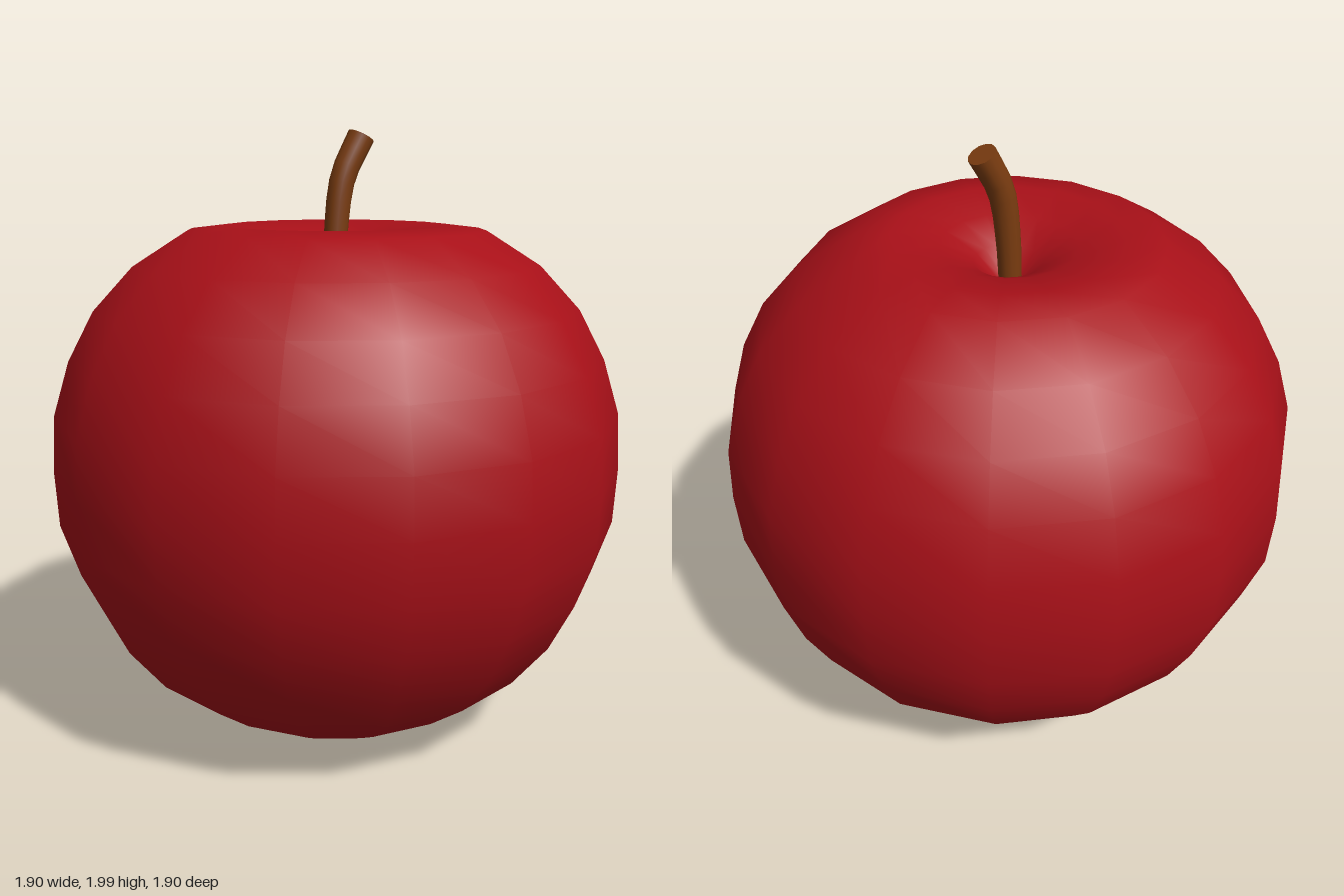
import * as THREE from 'three';

// Cylinder whose rings follow a curve, caps included
function bentCylinder(curve, rTop, rBottom, sides, rings) {
  const geo = new THREE.CylinderGeometry(rTop, rBottom, 1, sides, rings);
  const pos = geo.attributes.position, nor = geo.attributes.normal;
  const p = new THREE.Vector3(), n = new THREE.Vector3();
  for (let i = 0; i < pos.count; i++) {
    p.fromBufferAttribute(pos, i);
    n.fromBufferAttribute(nor, i);
    const t = THREE.MathUtils.clamp(p.y + 0.5, 0, 1);
    const up = curve.getTangent(t);
    const front = new THREE.Vector3(1, 0, 0).cross(up).normalize();
    const side = up.clone().cross(front);
    const frame = new THREE.Matrix4().makeBasis(side, up, front);
    p.setY(0).applyMatrix4(frame).add(curve.getPoint(t));
    n.applyMatrix4(frame);
    pos.setXYZ(i, p.x, p.y, p.z);
    nor.setXYZ(i, n.x, n.y, n.z);
  }
  return geo;
}

export function createModel() {
  const group = new THREE.Group();
  group.name = 'apple';

  // Body: one turned profile with a dimple below and a deeper one on top
  const profile = [
    [0, 0.08], [0.07, 0.065], [0.13, 0.015], [0.2, 0], [0.37, 0.02],
    [0.53, 0.11], [0.68, 0.22], [0.8, 0.37], [0.88, 0.53], [0.94, 0.71],
    [0.95, 0.9], [0.94, 1.08], [0.885, 1.26], [0.8, 1.42], [0.67, 1.56],
    [0.495, 1.67], [0.37, 1.685], [0.22, 1.655], [0.11, 1.6], [0.05, 1.54], [0, 1.51],
  ].map(([r, y]) => new THREE.Vector2(r, y));
  const body = new THREE.Mesh(
    new THREE.LatheGeometry(profile, 16),
    new THREE.MeshStandardMaterial({ color: 0xa81018 })
  );
  body.name = 'body';
  group.add(body);

  // Stem: rises from the dimple and leans back, slightly thicker at the tip
  const path = new THREE.CatmullRomCurve3([
    new THREE.Vector3(0, 1.5, 0.01),
    new THREE.Vector3(0, 1.68, 0),
    new THREE.Vector3(0.003, 1.84, -0.025),
    new THREE.Vector3(0.014, 1.97, -0.09),
  ]);
  const stem = new THREE.Mesh(
    bentCylinder(path, 0.045, 0.037, 12, 8),
    new THREE.MeshStandardMaterial({ color: 0x7a3c10 })
  );
  stem.name = 'stem';
  group.add(stem);

  return group;
}
